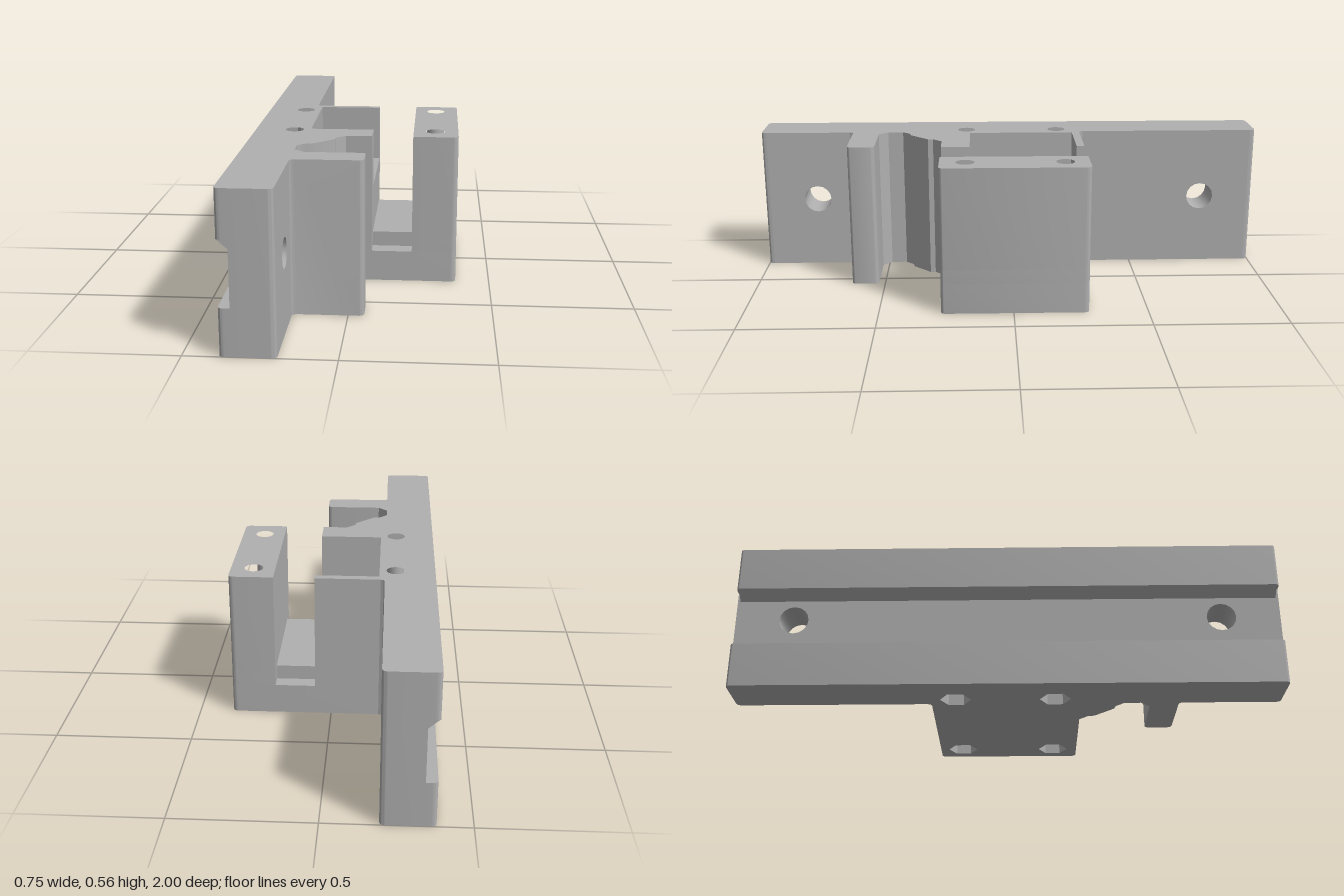
import * as THREE from 'three';
import { toCreasedNormals } from 'three/addons/utils/BufferGeometryUtils.js';

const H = 0.555;

// Closed outline from [x, z, cornerRadius] points, drawn in the plan (shape y = -z)
function plan(points) {
  const v = points.map(([x, z, r = 0]) => ({ p: new THREE.Vector2(x, -z), r }));
  const s = new THREE.Shape();
  v.forEach(({ p, r }, i) => {
    const prev = v[(i + v.length - 1) % v.length].p;
    const next = v[(i + 1) % v.length].p;
    const a = p.clone().add(prev.clone().sub(p).setLength(r));
    const b = p.clone().add(next.clone().sub(p).setLength(r));
    if (i === 0) s.moveTo(a.x, a.y); else s.lineTo(a.x, a.y);
    if (r) s.quadraticCurveTo(p.x, p.y, b.x, b.y);
  });
  s.closePath();
  return s;
}

function circle(x, y, r) {
  return new THREE.Path().absarc(x, y, r, 0, Math.PI * 2, true);
}

function hexagon(x, y, r) {
  const pts = [];
  for (let i = 0; i < 6; i++) {
    const a = Math.PI / 6 + i * Math.PI / 3;
    pts.push(new THREE.Vector2(x + r * Math.cos(a), y + r * Math.sin(a)));
  }
  return new THREE.Path(pts);
}

export function createModel() {
  const model = new THREE.Group();
  model.name = 'mountingBracket';
  const grey = new THREE.MeshStandardMaterial({ color: 0xb0b0b0 });
  grey.name = 'grey';

  function add(name, geometry) {
    const mesh = new THREE.Mesh(toCreasedNormals(geometry, 0.6), grey);
    mesh.name = name;
    model.add(mesh);
  }
  const extrude = (shape, depth) =>
    new THREE.ExtrudeGeometry(shape, { depth, bevelEnabled: false, curveSegments: 8 });

  // Upright slice of a plan outline between two heights
  function slice(name, points, y0, y1, holes = []) {
    const s = plan(points);
    s.holes.push(...holes);
    add(name, extrude(s, y1 - y0).rotateX(-Math.PI / 2).translate(0, y0, 0));
  }

  // Back plate on either side of the block, each with a cross bolt hole
  function plate(name, z0, z1, holeZ) {
    const s = new THREE.Shape();
    s.moveTo(-z1, 0).lineTo(-z0, 0).lineTo(-z0, H).lineTo(-z1, H).closePath();
    s.holes.push(circle(-holeZ, H / 2, 0.054));
    add(name, extrude(s, 0.145).rotateY(Math.PI / 2).translate(-0.34, 0, 0));
  }
  plate('frontPlate', 0.43, 0.98, 0.785);
  plate('backPlate', -0.98, -0.28, -0.785);
  for (const s of [1, -1]) {
    slice('plateEnd', [[-0.34, s * 0.98], [-0.195, s * 0.98], [-0.195, s, 0.019], [-0.34, s]], 0, H);
  }

  // Rails above and below the long groove, the upper one with a sloped lip
  const rail = [[-0.34, 1], [-0.38, 1, 0.018], [-0.38, -1, 0.018], [-0.34, -1]];
  slice('lowerRail', rail, 0, 0.165);
  slice('upperRail', rail, 0.39, H);
  const lip = new THREE.Shape();
  lip.moveTo(-0.34, 0.355).lineTo(-0.34, 0.39).lineTo(-0.38, 0.39).closePath();
  add('railLip', extrude(lip, 1.98).translate(0, 0, -0.99));

  // Outline runs shared by the layers of the block
  const back = [[-0.34, -0.28]];
  const neck = [[-0.035, 0.27], [-0.07, 0.305], [-0.07, 0.325], [-0.14, 0.395],
    [-0.165, 0.4], [-0.195, 0.43], [-0.34, 0.43]];
  const right = [[0.375, -0.28, 0.02], [0.375, 0.27, 0.02]];
  const at = (xs, make, r) => xs.flatMap(x => [-0.19, 0.175].map(z => make(x, -z, r)));
  const inner = [-0.235], outer = [0.29];
  const bolts = xs => at(xs, circle, 0.035);

  // Base with nut pockets, then the step under the slot
  slice('blockBase', [...back, ...right, ...neck], 0, 0.115, at([...inner, ...outer], hexagon, 0.057));
  slice('slotFloor', [...back,
    [0.06, -0.28], [0.06, -0.225], [0.21, -0.225], [0.21, -0.28],
    ...right,
    [0.21, 0.27], [0.21, 0.205], [0.06, 0.205], [0.06, 0.27],
    ...neck], 0.115, 0.17, bolts([...inner, ...outer]));

  // Outer post and inner body on either side of the slot
  slice('outerPost', [[0.21, -0.28], ...right, [0.21, 0.27]], 0.17, H, bolts(outer));
  slice('innerBody', [...back, [0.06, -0.28], [0.06, 0.27], ...neck], 0.17, 0.343, bolts(inner));
  slice('pocketWalls', [...back, [0.06, -0.28], [0.06, -0.25], [-0.175, -0.25],
    [-0.175, 0.16], [0.06, 0.16], [0.06, 0.27], ...neck], 0.343, H, bolts(inner));

  // Side fin with its chamfered root, and small fillets against the plate
  slice('sideFin', [[-0.195, 0.49], [-0.16, 0.525], [0.055, 0.525, 0.02],
    [0.055, 0.63, 0.02], [-0.18, 0.63], [-0.191, 0.634], [-0.195, 0.645]], 0, H);
  slice('blockFillet', [[-0.195, -0.28], [-0.195, -0.295], [-0.191, -0.284], [-0.18, -0.28]], 0, H);

  return model;
}
